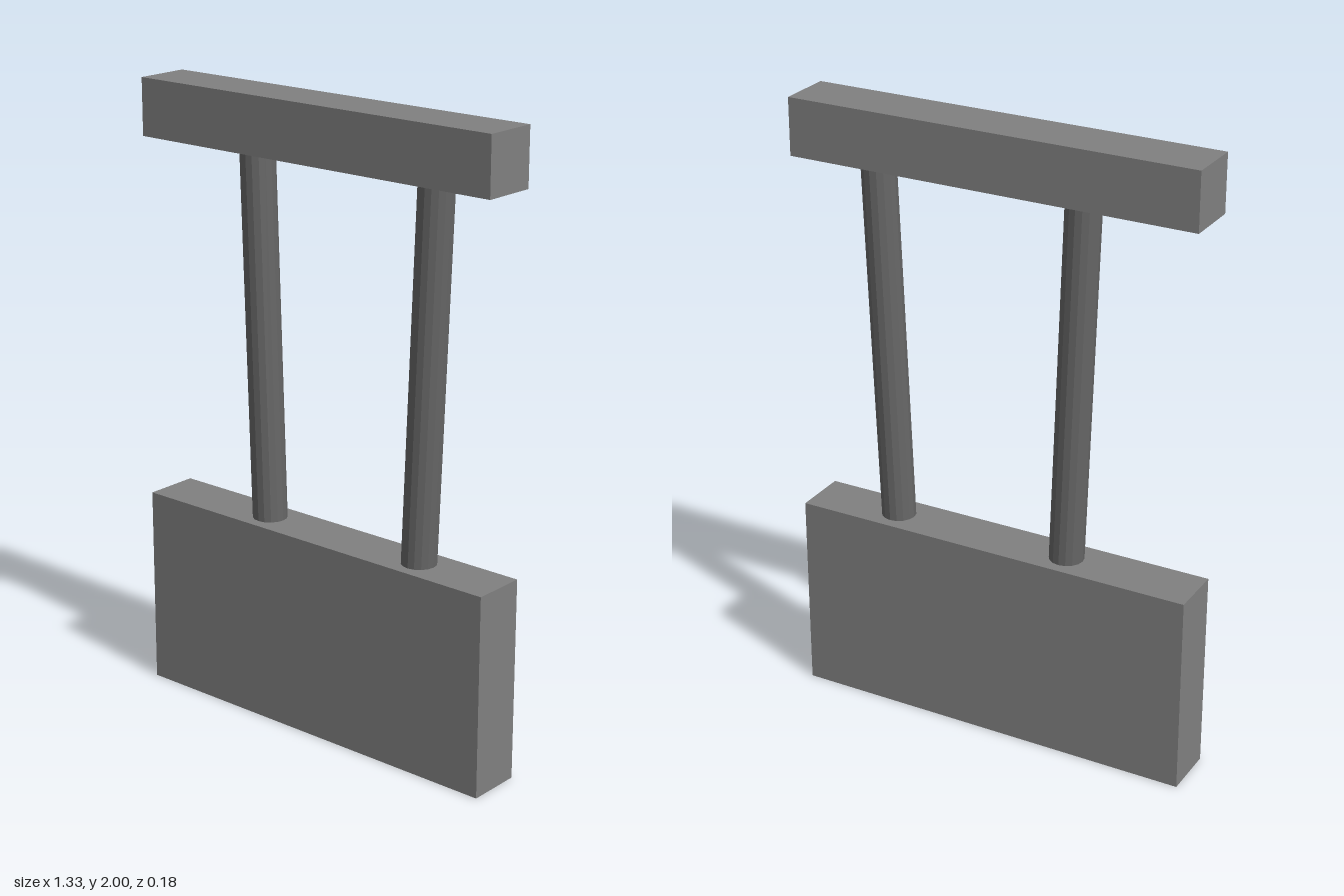
import * as THREE from 'three';

export function createModel() {
  const model = new THREE.Group();
  const blockMaterial = new THREE.MeshStandardMaterial({ color: 0x808080 });
  const postMaterial = new THREE.MeshStandardMaterial({ color: 0x666666, flatShading: true });

  const WIDTH = 1.332, DEPTH = 0.177;
  const BASE_TOP = 0.648, BEAM_BOTTOM = 1.818, TOP = 2;
  const POST_RADIUS = 0.055, EMBED = 0.02;

  function addBlock(name, y0, y1) {
    const mesh = new THREE.Mesh(new THREE.BoxGeometry(WIDTH, y1 - y0, DEPTH), blockMaterial);
    mesh.position.y = (y0 + y1) / 2;
    mesh.name = name;
    model.add(mesh);
  }

  // Leaning round post from the base to the beam, its ends sunk slightly into both
  function addPost(name, xBottom, xTop) {
    const slope = (xTop - xBottom) / (BEAM_BOTTOM - BASE_TOP);
    const a = new THREE.Vector3(xBottom - slope * EMBED, BASE_TOP - EMBED, 0);
    const b = new THREE.Vector3(xTop + slope * EMBED, BEAM_BOTTOM + EMBED, 0);
    const geometry = new THREE.CylinderGeometry(POST_RADIUS, POST_RADIUS, a.distanceTo(b), 16);
    const mesh = new THREE.Mesh(geometry, postMaterial);
    mesh.position.copy(a).lerp(b, 0.5);
    mesh.rotation.z = -Math.atan(slope);
    mesh.name = name;
    model.add(mesh);
  }

  addBlock('base', 0, BASE_TOP);
  addBlock('topBeam', BEAM_BOTTOM, TOP);
  addPost('rightPost', -0.231, -0.27);
  addPost('leftPost', 0.368, 0.413);

  return model;
}
